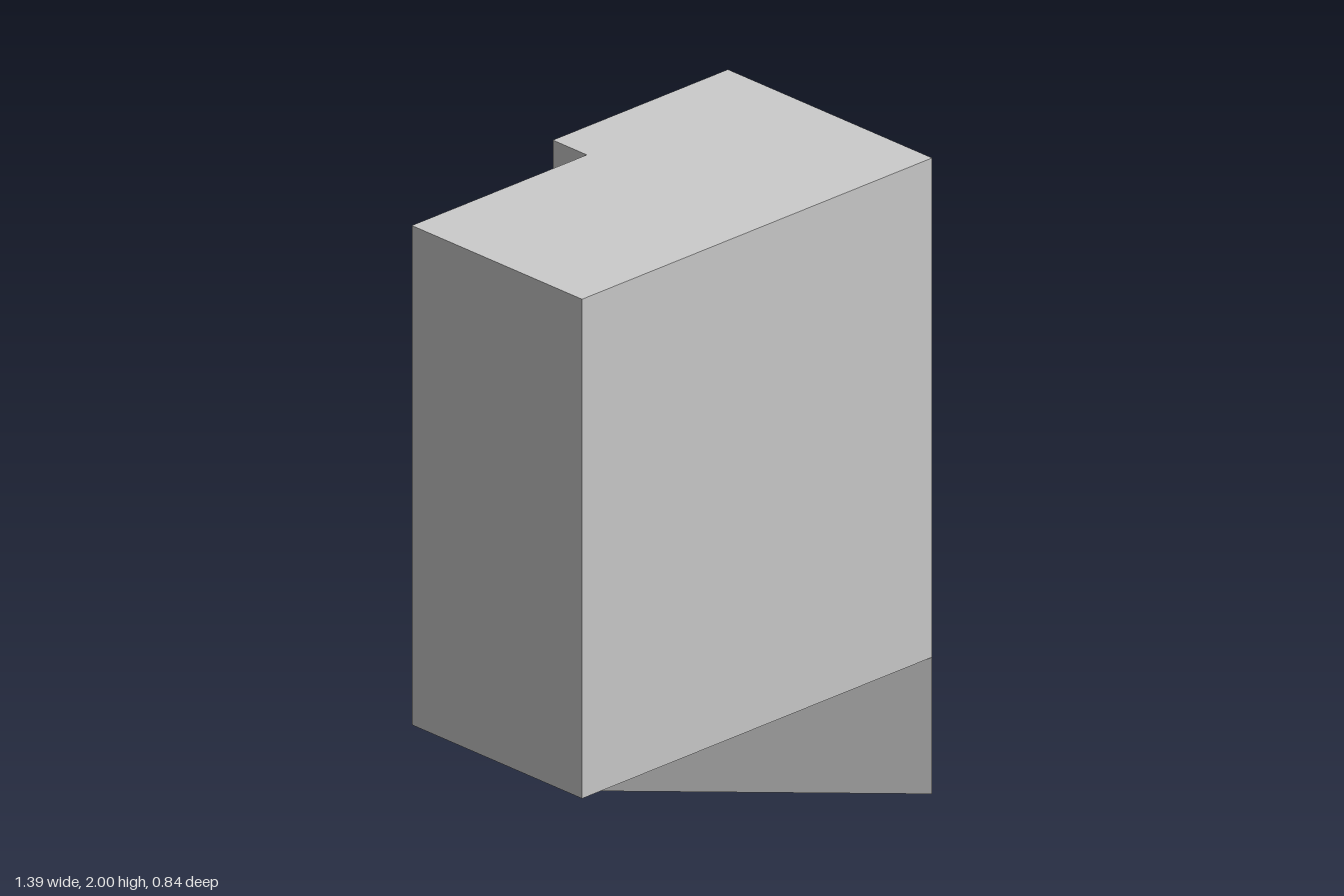
import * as THREE from 'three';
import { toCreasedNormals } from 'three/addons/utils/BufferGeometryUtils.js';

const W = 0.695, F = 0.42, B = -0.28, RB = -0.42; // half width, front, back, raised back
const TOP = 2, BASE = 0.43, STEP = 0.71;          // top, body underside, raised block underside

const grey = new THREE.MeshStandardMaterial({ color: 0xcccccc });
const greyInside = new THREE.MeshStandardMaterial({ color: 0xcccccc, side: THREE.DoubleSide });

// Blind round hole sinking along local -z
function pocket(x, y, r, depth) {
  const profile = [[0, -depth], [r, -depth], [r, 0]].map(p => new THREE.Vector2(...p));
  const geo = toCreasedNormals(new THREE.LatheGeometry(profile, 32), 0.7).rotateX(Math.PI / 2);
  const mesh = new THREE.Mesh(geo, greyInside);
  mesh.name = 'screwHole';
  mesh.position.set(x, y, 0);
  return mesh;
}

// Flat wall in the plane spanned by u and v, at a distance along its outward normal
function wall(name, u, v, distance, points, holes = []) {
  const n = new THREE.Vector3().crossVectors(u, v);
  const group = new THREE.Group();
  group.name = name;
  new THREE.Matrix4().makeBasis(u, v, n).setPosition(n.clone().multiplyScalar(distance))
    .decompose(group.position, group.quaternion, group.scale);
  const shape = new THREE.Shape(points.map(p => new THREE.Vector2(...p)));
  for (const [x, y, r, depth] of holes) {
    shape.holes.push(new THREE.Path().absarc(x, y, r, 0, Math.PI * 2, true));
    group.add(pocket(x, y, r, depth));
  }
  const mesh = new THREE.Mesh(new THREE.ShapeGeometry(shape, 32), grey);
  mesh.name = name + 'Face';
  group.add(mesh);
  return group;
}

const rect = (a, b, c, d) => [[a, b], [c, b], [c, d], [a, d]];

export function createModel() {
  const model = new THREE.Group();
  model.name = 'steppedBlock';
  const X = new THREE.Vector3(1, 0, 0), Y = new THREE.Vector3(0, 1, 0), Z = new THREE.Vector3(0, 0, 1);
  const nX = X.clone().negate(), nZ = Z.clone().negate();

  // Main body
  model.add(wall('front', X, Y, F, rect(-W, BASE, W, TOP)));
  model.add(wall('rightSide', Z, Y, W, rect(B, BASE, F, TOP)));
  model.add(wall('top', X, nZ, TOP, [[-W, -F], [W, -F], [W, -RB], [0, -RB], [0, -B], [-W, -B]]));
  model.add(wall('underside', X, Z, -BASE, [[-W, B], [0, B], [W, F], [-W, F]],
    [[-0.35, 0.02, 0.045, 0.25]]));

  // Left side runs from the raised block down to the tip of the wedge
  model.add(wall('leftSide', nZ, Y, W,
    [[-F, 0], [-B, 0], [-B, STEP], [-RB, STEP], [-RB, TOP], [-F, TOP]]));

  // Recessed back, shared by the body and the wedge
  model.add(wall('back', nX, Y, -B,
    [[W, BASE], [W, TOP], [0, TOP], [0, STEP], [-W, STEP], [-W, 0], [0, 0], [0, BASE]],
    [[0.35, 1.715, 0.045, 0.25], [-0.345, 0.3, 0.03, 0.2]]));

  // Raised block on the back
  model.add(wall('raisedBack', nX, Y, -RB, rect(-W, STEP, 0, TOP), [[-0.345, 1.715, 0.045, 0.25]]));
  model.add(wall('raisedSide', Z, Y, 0, rect(RB, STEP, B, TOP)));
  model.add(wall('raisedUnderside', X, Z, -STEP, rect(0, RB, W, B)));

  // Triangular wedge under the body
  const slant = new THREE.Vector3(W, 0, F - B).normalize();
  const normal = new THREE.Vector3().crossVectors(slant, Y);
  const corner = new THREE.Vector3(0, 0, B);
  const start = corner.dot(slant), length = Math.hypot(W, F - B);
  model.add(wall('wedgeSlant', slant, Y, corner.dot(normal), rect(start, 0, start + length, BASE)));
  model.add(wall('wedgeBottom', X, Z, 0, [[0, B], [W, B], [W, F]]));

  model.rotation.y = -0.004; // very slight twist
  return model;
}
